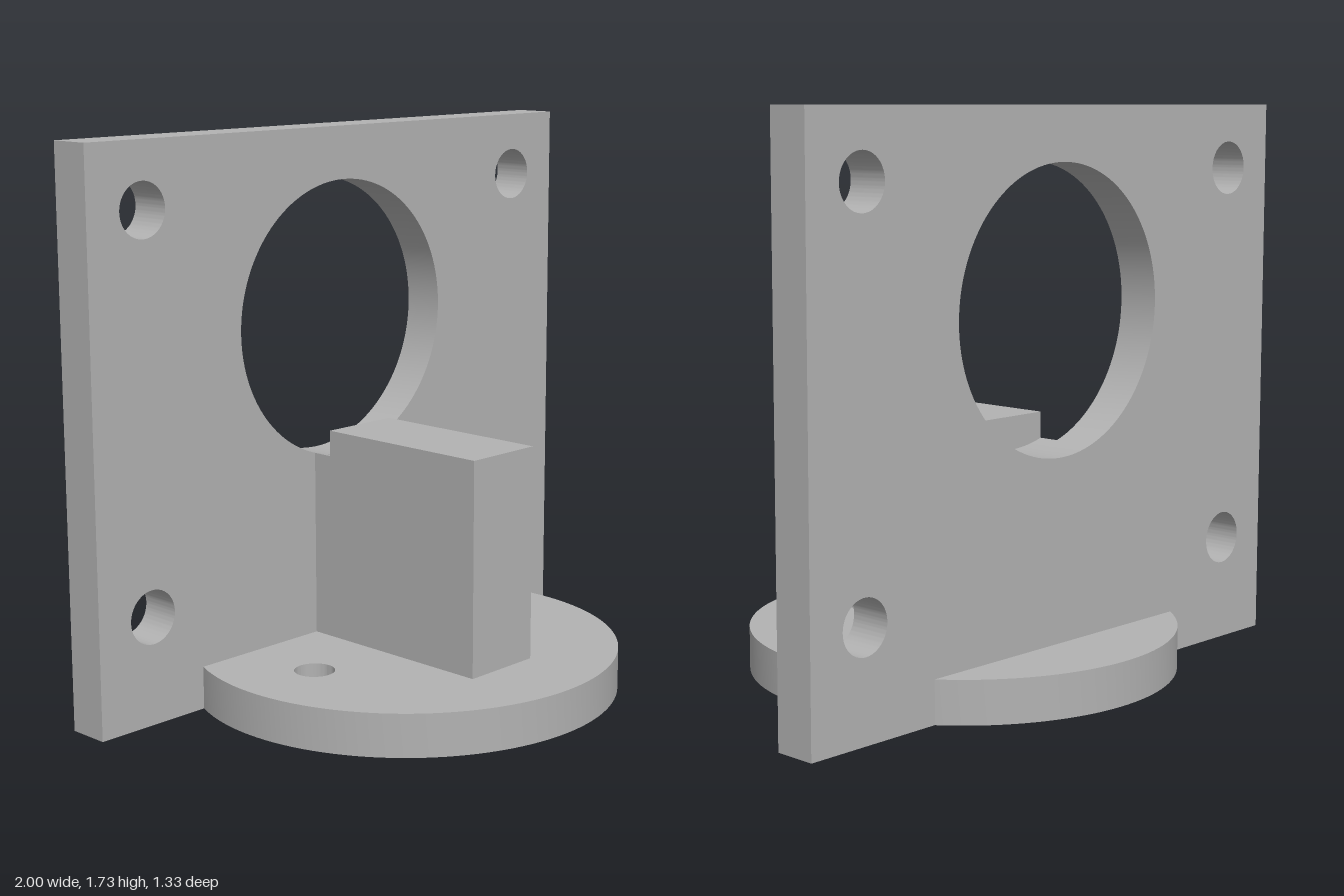
import * as THREE from 'three';
import { toCreasedNormals } from 'three/addons/utils/BufferGeometryUtils.js';

const T = 0.133; // plate and disc thickness
const BORE = { y: 1.133, r: 0.435 };

const circle = (C, x, y, r) => new C().absarc(x, y, r, 0, Math.PI * 2, false);

function extrude(shape, depth) {
  const g = new THREE.ExtrudeGeometry(shape, { depth, bevelEnabled: false, curveSegments: 64 });
  return toCreasedNormals(g, 0.5);
}

export function createModel() {
  const grey = new THREE.MeshStandardMaterial({ color: 0xb2b2b2 });
  grey.name = 'grey';
  const model = new THREE.Group();
  model.name = 'mountingBracket';
  const add = (name, geometry) => {
    const mesh = new THREE.Mesh(geometry, grey);
    mesh.name = name;
    model.add(mesh);
    return mesh;
  };

  // Upright plate with a large bore and four corner holes
  const plate = new THREE.Shape();
  plate.moveTo(-1, 0).lineTo(1, 0).lineTo(1, 1.733).lineTo(-1, 1.733).closePath();
  plate.holes.push(circle(THREE.Path, 0, BORE.y, BORE.r));
  for (const x of [-0.8, 0.8])
    for (const y of [0.333, 1.533]) plate.holes.push(circle(THREE.Path, x, y, 0.083));
  add('uprightPlate', extrude(plate, T)).position.z = -0.4;

  // Round base with three screw holes, the middle one capped by the block
  const disc = circle(THREE.Shape, 0, 0, 0.667);
  for (const x of [-0.4, 0, 0.4]) disc.holes.push(circle(THREE.Path, x, 0, 0.062));
  add('baseDisc', extrude(disc, T).rotateX(-Math.PI / 2));

  // Support block standing on the base
  const w = 0.133;
  add('supportBlock', new THREE.BoxGeometry(2 * w, 0.8 - T, 0.6)).position.set(0, (0.8 + T) / 2, 0.1);

  // Low neck joining block and plate, its top hollowed to follow the bore
  const a = Math.asin(w / BORE.r);
  const neck = new THREE.Shape();
  neck.moveTo(-w, T).lineTo(w, T);
  neck.absarc(0, BORE.y, BORE.r, -Math.PI / 2 + a, -Math.PI / 2 - a, true);
  neck.closePath();
  add('blockNeck', extrude(neck, 0.067)).position.z = -0.267;

  return model;
}
